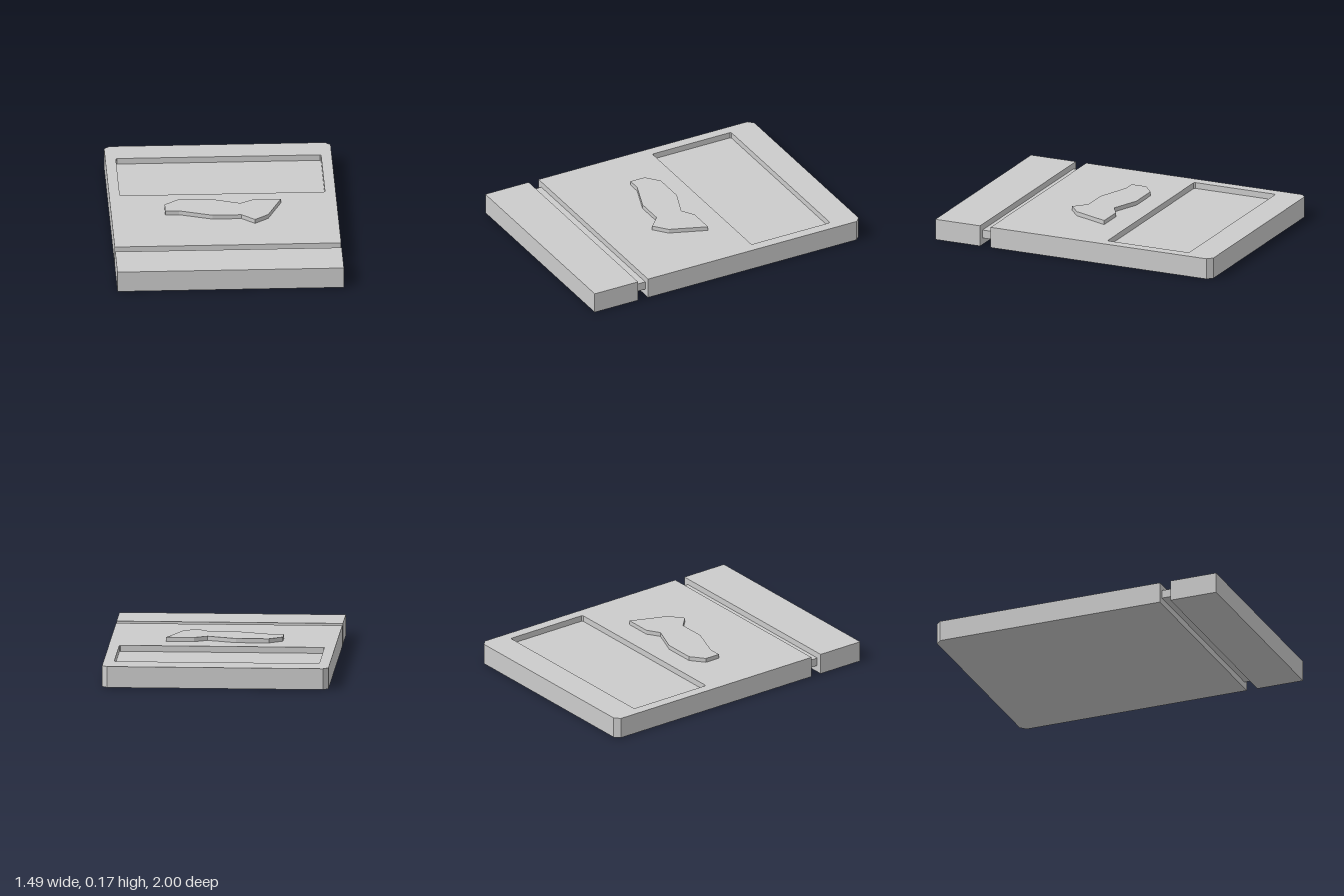
import * as THREE from 'three';

const material = new THREE.MeshStandardMaterial({ color: 0xcccccc, flatShading: true });

// Plan outlines are given as [x, z] pairs
const toPoints = (plan) => plan.map(([x, z]) => new THREE.Vector2(x, -z));

// Rectangle in plan with separate corner cuts for the back and front edges
function rectangle(halfWidth, back, front, backCut = 0, frontCut = 0) {
  const w = halfWidth, b = backCut, f = frontCut;
  const plan = [];
  plan.push(...(f ? [[-w + f, front], [w - f, front], [w, front - f]] : [[-w, front], [w, front]]));
  plan.push(...(b ? [[w, back + b], [w - b, back], [-w + b, back], [-w, back + b]] : [[w, back], [-w, back]]));
  if (f) plan.push([-w, front - f]);
  return plan;
}

// Upright prism between two heights, optionally with an opening
function prism(name, plan, bottom, top, hole) {
  const shape = new THREE.Shape(toPoints(plan));
  if (hole) shape.holes.push(new THREE.Path(toPoints(hole)));
  const geometry = new THREE.ExtrudeGeometry(shape, { depth: top - bottom, bevelEnabled: false });
  geometry.rotateX(-Math.PI / 2).translate(0, bottom, 0);
  const mesh = new THREE.Mesh(geometry, material);
  mesh.name = name;
  return mesh;
}

export function createModel() {
  const group = new THREE.Group();
  group.name = 'cartridge';
  const height = 0.14, halfWidth = 0.745;

  // Main body with chamfered back corners and a shallow label recess
  const recess = rectangle(0.675, -0.805, -0.215, 0.008, 0.008);
  group.add(prism('mainBody', rectangle(halfWidth, -1, 0.6, 0.035), 0, height, recess));
  group.add(prism('recessFloor', recess, 0, 0.1));

  // Narrow bridge joining the body to the front block
  group.add(prism('connector', rectangle(0.708, 0.6, 0.675), 0.045, 0.1));
  group.add(prism('frontBlock', rectangle(halfWidth, 0.675, 1), 0, height));

  // Raised angular relief on the upper face
  const relief = [
    [-0.39, 0], [-0.3, -0.073], [-0.083, -0.073], [0.108, 0],
    [0.193, -0.053], [0.377, -0.053], [0.283, 0.19], [0.193, 0.265],
    [0.108, 0.185], [-0.083, 0.185], [-0.3, 0.106], [-0.39, 0.106],
  ];
  group.add(prism('raisedRelief', relief, height, 0.168));

  return group;
}
